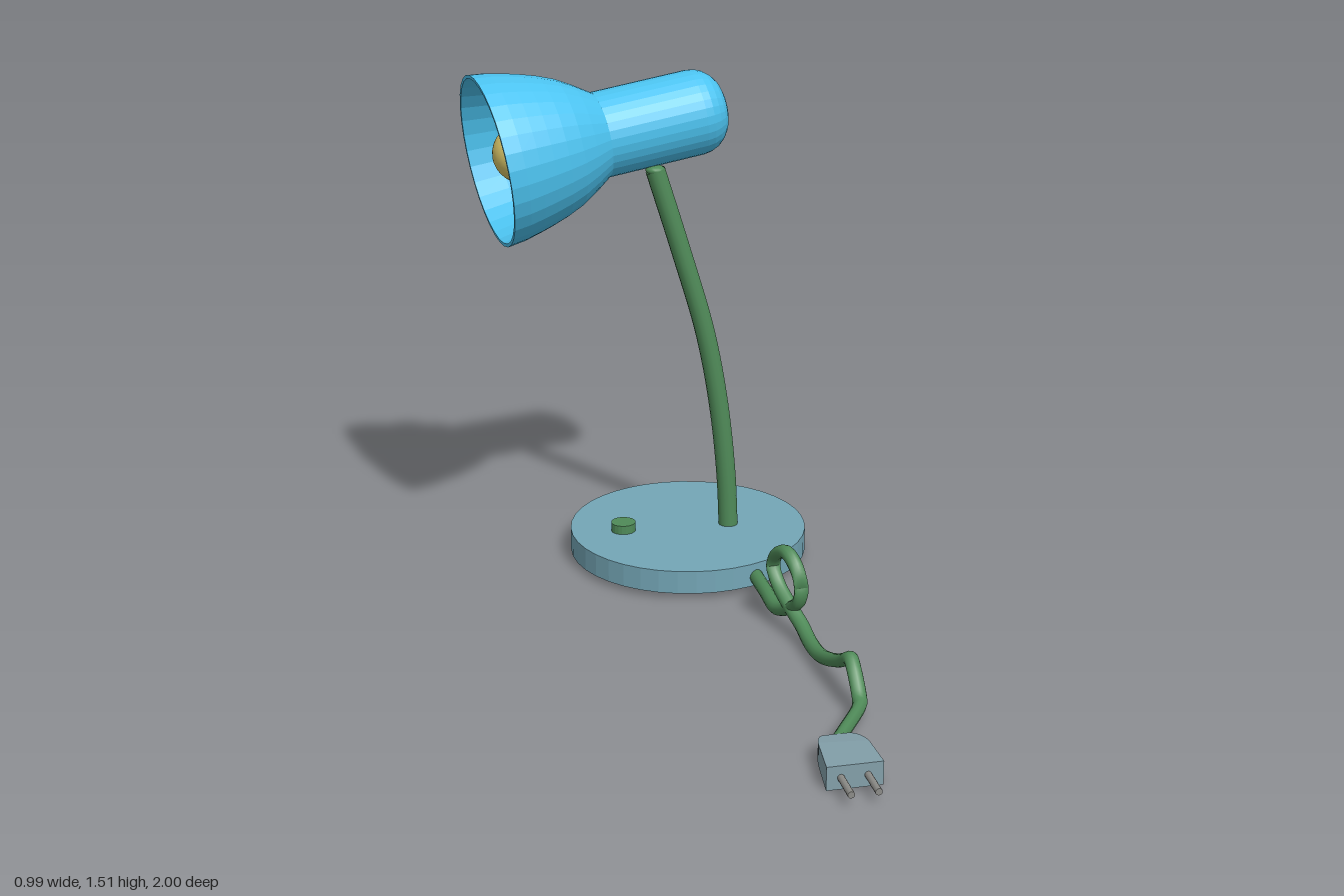
import * as THREE from 'three';

const V = (x, y, z) => new THREE.Vector3(x, y, z);
const paint = (color, flatShading = false) =>
  new THREE.MeshStandardMaterial({ color, flatShading, side: THREE.DoubleSide });

const blue = paint(0x4cc3f0, true);
const slate = paint(0x74a6b6, true);
const green = paint(0x4f8a58);
const plugGrey = paint(0x83a0aa, true);
const metal = paint(0x8c8c88);
const yellow = paint(0xd8c468);

function add(parent, name, geometry, material, x = 0, y = 0, z = 0) {
  const mesh = new THREE.Mesh(geometry, material);
  mesh.name = name;
  mesh.position.set(x, y, z);
  parent.add(mesh);
  return mesh;
}

// Cord whose round section always stays in the xy plane, so it thins where it climbs
function cordGeometry(points, radius, steps, sides) {
  const curve = new THREE.CatmullRomCurve3(points, false, 'centripetal');
  const geometry = new THREE.TubeGeometry(curve, steps, radius, sides);
  const pos = geometry.attributes.position;
  for (let i = 0; i <= steps; i++) {
    const p = curve.getPointAt(i / steps);
    for (let j = 0; j <= sides; j++) {
      const a = (j / sides) * Math.PI * 2;
      pos.setXYZ(i * (sides + 1) + j, p.x + radius * Math.cos(a), p.y + radius * Math.sin(a), p.z);
    }
  }
  geometry.computeVertexNormals();
  return geometry;
}

// Shade and lamp housing, built along +y from the open rim to the rounded tail
function buildHead() {
  const head = new THREE.Group();
  head.name = 'lampHead';
  const profile = [
    [0, 0.31], [0.1, 0.31], [0.15, 0.275], [0.197, 0.188], [0.224, 0.09], [0.24, 0],
    [0.25, 0], [0.244, 0.05], [0.234, 0.095], [0.222, 0.14], [0.207, 0.188],
    [0.187, 0.237], [0.16, 0.284], [0.125, 0.337],
  ];
  add(head, 'shade', new THREE.LatheGeometry(profile.map(p => new THREE.Vector2(...p)), 32), blue);

  const housing = [new THREE.Vector2(0.125, 0.335)];
  for (let i = 0; i <= 6; i++) {
    const a = (i / 6) * Math.PI / 2;
    housing.push(new THREE.Vector2(0.035 + 0.09 * Math.cos(a), 0.63 + 0.088 * Math.sin(a)));
  }
  housing.push(new THREE.Vector2(0, 0.72));
  add(head, 'housing', new THREE.LatheGeometry(housing, 32), blue);

  add(head, 'bulb', new THREE.SphereGeometry(0.085, 24, 16), yellow, 0, 0.105, 0);
  add(head, 'bulbNeck', new THREE.CylinderGeometry(0.04, 0.055, 0.16, 20), yellow, 0, 0.235, 0);

  head.position.set(-0.455, 1.27, -0.62);
  head.quaternion.setFromUnitVectors(V(0, 1, 0), V(1, 0.15, -0.115).normalize());
  return head;
}

// Plug body tapering towards the cord, with two pins
function buildPlug() {
  const plug = new THREE.Group();
  plug.name = 'plug';
  const outline = new THREE.Shape();
  outline.moveTo(-0.075, 0.908);
  outline.lineTo(0.075, 0.908);
  outline.lineTo(0.073, 0.785);
  outline.quadraticCurveTo(0.066, 0.722, 0.035, 0.72);
  outline.lineTo(-0.03, 0.72);
  outline.quadraticCurveTo(-0.05, 0.722, -0.06, 0.785);
  outline.closePath();
  const body = new THREE.ExtrudeGeometry(outline, { depth: 0.066, bevelEnabled: false, curveSegments: 6 });
  body.translate(0, 0, -0.033);
  body.rotateX(Math.PI / 2);
  const pos = body.attributes.position;
  for (let i = 0; i < pos.count; i++) {
    const k = THREE.MathUtils.clamp((pos.getZ(i) - 0.72) / 0.1, 0, 1);
    pos.setY(i, pos.getY(i) * (0.65 + 0.35 * k));
  }
  body.computeVertexNormals();
  add(plug, 'plugBody', body, plugGrey);
  for (const x of [-0.037, 0.034]) {
    const pin = add(plug, 'plugPin', new THREE.CylinderGeometry(0.0095, 0.0095, 0.11, 12), metal, x, 0, 0.945);
    pin.rotation.x = Math.PI / 2;
  }
  plug.position.set(0.204, 0.037, 0);
  return plug;
}

export function createModel() {
  const lamp = new THREE.Group();
  lamp.name = 'deskLamp';

  add(lamp, 'base', new THREE.CylinderGeometry(0.357, 0.357, 0.07, 40), slate, 0.135, 0.055, -0.645);
  add(lamp, 'switchButton', new THREE.CylinderGeometry(0.037, 0.037, 0.04, 20), paint(0x4f8a58, true), -0.065, 0.097, -0.648);

  // Bent stem
  const stem = new THREE.CatmullRomCurve3([
    [0.258, 0.07], [0.25, 0.25], [0.226, 0.48], [0.184, 0.71], [0.11, 0.97], [0.035, 1.215],
  ].map(([x, y]) => V(x, y, -0.628)));
  add(lamp, 'stem', new THREE.TubeGeometry(stem, 40, 0.029, 14), green);
  add(lamp, 'stemTip', new THREE.SphereGeometry(0.029, 14, 8), green, 0.035, 1.215, -0.628).scale.y = 0.5;

  lamp.add(buildHead());

  // Power cord with one loop and a kink
  const cord = [
    [0.265, 0.048, -0.34], [0.265, 0.048, -0.2], [0.265, 0.048, -0.09], [0.272, 0.058, -0.05],
    [0.287, 0.085, 0], [0.297, 0.125, 0.045], [0.298, 0.17, 0.058], [0.29, 0.22, 0.035],
    [0.275, 0.248, -0.015], [0.26, 0.225, -0.065], [0.255, 0.18, -0.086], [0.265, 0.13, -0.06],
    [0.285, 0.085, 0], [0.302, 0.052, 0.06], [0.305, 0.036, 0.12], [0.308, 0.036, 0.21],
    [0.315, 0.06, 0.3], [0.326, 0.092, 0.375], [0.332, 0.122, 0.43], [0.332, 0.105, 0.465],
    [0.33, 0.042, 0.53], [0.322, 0.037, 0.548], [0.22, 0.037, 0.71], [0.207, 0.037, 0.74],
  ];
  add(lamp, 'cord', cordGeometry(cord.map(p => V(...p)), 0.021, 140, 12), green);

  lamp.add(buildPlug());
  return lamp;
}
